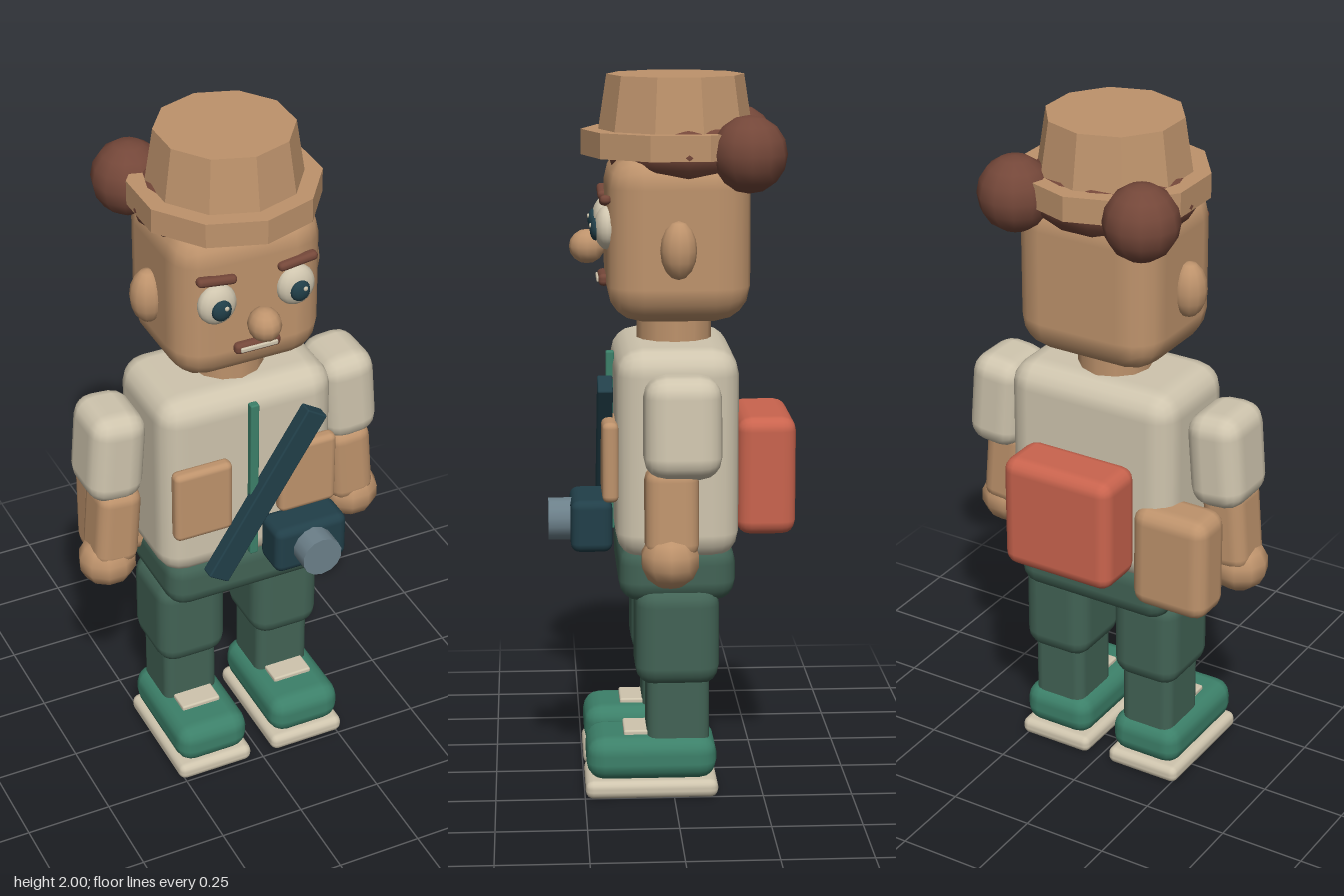
import * as THREE from 'three';
import { RoundedBoxGeometry } from 'three/addons/geometries/RoundedBoxGeometry.js';

const mat = (name, color) => {
  const m = new THREE.MeshStandardMaterial({ color });
  m.name = name;
  return m;
};

export function createModel() {
  const skin = mat('tan', 0xbe936c);
  const cream = mat('cream', 0xcfc5ae);
  const pants = mat('dark green', 0x426355);
  const green = mat('shoe green', 0x3c8069);
  const hair = mat('brown', 0x744739);
  const navy = mat('dark teal', 0x213f49);
  const grey = mat('lens grey', 0x6c808a);
  const red = mat('pack red', 0xca644e);

  const model = new THREE.Group();
  model.name = 'explorer';

  const add = (name, geo, material, x, y, z) => {
    const mesh = new THREE.Mesh(geo, material);
    mesh.name = name;
    mesh.position.set(x, y, z);
    model.add(mesh);
    return mesh;
  };
  // rounded block of the given size, centred at (x, y, z)
  const block = (name, m, w, h, d, r, x, y, z) =>
    add(name, new RoundedBoxGeometry(w, h, d, 2, r), m, x, y, z);
  // stretched ball
  const ball = (name, m, rx, ry, rz, x, y, z, seg = 12) => {
    const mesh = add(name, new THREE.SphereGeometry(1, seg, Math.round(seg * 0.7)), m, x, y, z);
    mesh.scale.set(rx, ry, rz);
    return mesh;
  };
  // faceted hat piece
  const ring = (name, top, bottom, h, y) => {
    const geo = new THREE.CylinderGeometry(top, bottom, h, 10).toNonIndexed();
    geo.computeVertexNormals();
    add(name, geo, skin, 0, y, -0.016);
  };

  // body
  block('torso', cream, 0.53, 0.59, 0.34, 0.075, 0, 0.975, -0.01);
  block('hips', pants, 0.485, 0.17, 0.325, 0.06, 0, 0.64, -0.01);
  add('neck', new THREE.CylinderGeometry(0.105, 0.105, 0.14, 12), skin, 0, 1.3, -0.012);
  block('placket', green, 0.026, 0.51, 0.024, 0.005, 0, 0.975, 0.168);

  // head and face
  block('head', skin, 0.44, 0.47, 0.395, 0.1, 0, 1.565, -0.018);
  ball('nose', skin, 0.046, 0.048, 0.05, 0, 1.525, 0.23);
  block('lips', hair, 0.135, 0.034, 0.03, 0.013, 0, 1.438, 0.185);
  block('teeth', cream, 0.11, 0.014, 0.009, 0.004, 0, 1.438, 0.201);

  // hair and hat
  ball('hairCap', hair, 0.252, 0.115, 0.218, 0, 1.79, -0.04, 14);
  ring('hatBrim', 0.262, 0.262, 0.07, 1.815);
  ring('hatCrown', 0.19, 0.213, 0.15, 1.925);

  for (const s of [-1, 1]) {
    // head sides
    ball('ear', skin, 0.05, 0.08, 0.05, s * 0.23, 1.54, -0.012);
    ball('hairPuff', hair, 0.104, 0.106, 0.104, s * 0.195, 1.795, -0.205);
    ball('eye', cream, 0.056, 0.06, 0.035, s * 0.115, 1.59, 0.178, 16);
    ball('pupil', navy, 0.029, 0.031, 0.016, s * 0.115, 1.586, 0.209);
    ball('eyeGlint', cream, 0.007, 0.007, 0.004, s * 0.115 + 0.009, 1.597, 0.223, 8);
    block('eyebrow', hair, 0.115, 0.026, 0.03, 0.012, s * 0.118, 1.665, 0.183)
      .rotation.z = s * 0.13;

    // arms
    block('sleeve', cream, 0.165, 0.28, 0.21, 0.06, s * 0.358, 1.08, -0.015)
      .rotation.z = s * 0.08;
    block('forearm', skin, 0.13, 0.25, 0.145, 0.04, s * 0.365, 0.85, 0.015)
      .rotation.z = s * 0.08;
    ball('hand', skin, 0.085, 0.08, 0.082, s * 0.385, 0.722, 0.02, 10);

    // legs and shoes
    block('thigh', pants, 0.21, 0.285, 0.235, 0.055, s * 0.15, 0.46, -0.01);
    block('shin', pants, 0.165, 0.23, 0.175, 0.03, s * 0.15, 0.24, -0.012);
    block('shoe', green, 0.222, 0.125, 0.365, 0.05, s * 0.15, 0.11, 0.0625);
    block('sole', cream, 0.232, 0.052, 0.372, 0.022, s * 0.15, 0.026, 0.0625);
    block('shoeTongue', cream, 0.12, 0.03, 0.08, 0.006, s * 0.15, 0.17, 0.1);

    // chest pocket
    block('chestPocket', skin, 0.175, 0.225, 0.045, 0.018, s * 0.16, 0.958, 0.175);
  }

  // camera on its strap
  block('cameraStrap', navy, 0.07, 0.57, 0.042, 0.005, 0.027, 0.928, 0.187)
    .rotation.z = -0.56;
  block('cameraBody', navy, 0.222, 0.147, 0.115, 0.025, 0.131, 0.778, 0.227);
  add('cameraLens', new THREE.CylinderGeometry(0.06, 0.06, 0.11, 14), grey, 0.131, 0.78, 0.29)
    .rotation.x = Math.PI / 2;

  // bags on the back
  block('backpack', red, 0.345, 0.335, 0.165, 0.04, 0, 0.897, -0.262);
  block('sidePouch', skin, 0.235, 0.31, 0.145, 0.045, -0.277, 0.785, -0.137);

  return model;
}
